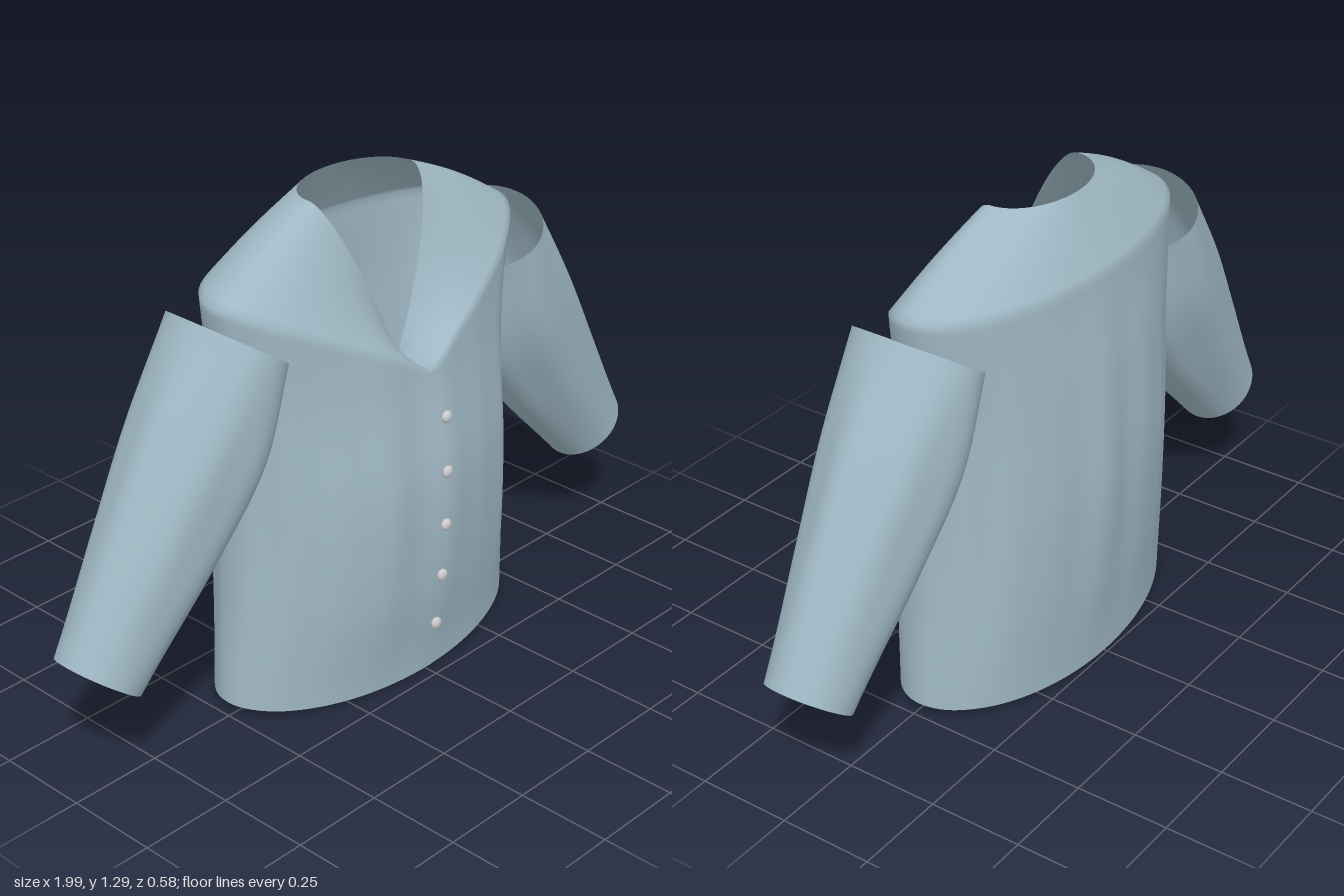
import * as THREE from 'three';

const V = (x, y, z = 0) => new THREE.Vector3(x, y, z);
const mix = THREE.MathUtils.lerp;
const cloth = new THREE.MeshStandardMaterial({ color: 0x9fb8c4, side: THREE.DoubleSide });
const buttonMaterial = new THREE.MeshStandardMaterial({ color: 0xcccccc });

// Surface from closed rings: point(angle, v), v running 0..1 from top to bottom
function loft(point, sides, rows) {
  const pos = [], idx = [];
  for (let j = 0; j <= rows; j++) {
    for (let i = 0; i < sides; i++) pos.push(...point((i / sides) * Math.PI * 2, j / rows).toArray());
  }
  for (let j = 0; j < rows; j++) {
    for (let i = 0; i < sides; i++) {
      const a = j * sides + i, b = j * sides + ((i + 1) % sides);
      idx.push(a, a + sides, b, b, a + sides, b + sides);
    }
  }
  const g = new THREE.BufferGeometry();
  g.setAttribute('position', new THREE.Float32BufferAttribute(pos, 3));
  g.setIndex(idx);
  g.computeVertexNormals();
  return g;
}

// Smooth profile through values evenly spaced from the hem (y 0) to the shoulder (y 1.12)
const SHOULDER = 1.12, MID_Z = -0.012;
function profile(values) {
  const curve = new THREE.SplineCurve(values.map((v, i) => new THREE.Vector2(v, i)));
  return (y) => curve.getPoint(THREE.MathUtils.clamp(y / SHOULDER, 0, 1)).x;
}
const halfWidth = profile([0.492, 0.468, 0.453, 0.46, 0.5]);
const frontDepth = profile([0.222, 0.26, 0.268, 0.232, 0.212]);
const backDepth = profile([0.228, 0.256, 0.27, 0.256, 0.228]);

// Point on the body wall, with soft vertical folds fading at hem and shoulder
function bodyPoint(a, y) {
  const s = Math.sin(a), c = Math.cos(a);
  const env = Math.sin(Math.PI * THREE.MathUtils.clamp(y / SHOULDER, 0, 1));
  const fold = 1 + 0.028 * env * Math.abs(c) * (0.6 * Math.sin(11 * a) + 0.4 * Math.sin(17 * a + 0.5));
  return V(s * halfWidth(y) * fold, y, MID_Z + c * (c > 0 ? frontDepth(y) : backDepth(y)) * fold);
}

// Neck edge: level at the back, a straight V at the front
function neckPoint(a) {
  const s = Math.sin(a), c = Math.cos(a);
  return V(0.18 * s, c > 0 ? 0.86 + 0.43 * Math.abs(s) : 1.29, -0.017 + 0.122 * c);
}

// Yoke from neck to shoulder crease, then the wall down to the hem
function torsoPoint(a, v) {
  const s = Math.abs(Math.sin(a)), c = Math.cos(a);
  const creaseY = c > 0 ? 0.86 + 0.26 * s : SHOULDER;
  const yoke = 0.25;
  if (v <= yoke) {
    const t = v / yoke;
    const p = neckPoint(a).lerp(bodyPoint(a, creaseY), t);
    p.y += 0.012 * Math.sin(Math.PI * t) * s;
    return p;
  }
  return bodyPoint(a, mix(creaseY, 0.03 * s * s, (v - yoke) / (1 - yoke)));
}

// Sleeve: rings spanning an outer and an inner edge curve
const outerEdge = new THREE.CatmullRomCurve3([V(0.56, 1.105), V(0.7, 0.905), V(0.82, 0.7), V(0.995, 0.375)]);
const innerEdge = new THREE.CatmullRomCurve3([V(0.355, 0.96), V(0.41, 0.71), V(0.545, 0.515), V(0.81, 0.235)]);
const sleeveDepth = new THREE.SplineCurve(
  [0.176, 0.17, 0.145, 0.108].map((d, i) => new THREE.Vector2(d, i)));
function sleevePoint(a, t, side) {
  const o = outerEdge.getPoint(t), n = innerEdge.getPoint(t);
  const fold = 1 + 0.025 * Math.sin(Math.PI * t) * Math.sin(7 * a + 1);
  const p = n.clone().add(o).multiplyScalar(0.5).addScaledVector(o.sub(n), 0.5 * Math.cos(a) * fold);
  return V(side * p.x, p.y, MID_Z + sleeveDepth.getPoint(t).x * Math.sin(a) * fold);
}

export function createModel() {
  const group = new THREE.Group();
  const add = (name, geometry, material) => {
    const mesh = new THREE.Mesh(geometry, material);
    mesh.name = name;
    group.add(mesh);
    return mesh;
  };

  add('torso', loft(torsoPoint, 160, 64), cloth);

  for (const side of [1, -1]) {
    add(side > 0 ? 'leftSleeve' : 'rightSleeve',
      loft((a, t) => sleevePoint(-side * a, t, side), 72, 32), cloth);
  }

  // Placket strip following the front of the body
  const strip = new THREE.PlaneGeometry(0.047, 0.855, 2, 40).translate(0, 0.43, 0);
  const p = strip.attributes.position;
  for (let i = 0; i < p.count; i++) {
    const y = p.getY(i);
    p.setZ(i, bodyPoint(Math.asin(p.getX(i) / halfWidth(y)), y).z + 0.003);
  }
  strip.computeVertexNormals();
  add('placket', strip, cloth);

  // Buttons down the front
  [0.25, 0.268, 0.278, 0.28, 0.274].forEach((z, i) => {
    const button = add('button' + (i + 1), new THREE.SphereGeometry(0.016, 20, 14), buttonMaterial);
    button.scale.z = 0.65;
    button.position.set(-0.003, 0.155 + 0.15 * i, z);
  });

  return group;
}
